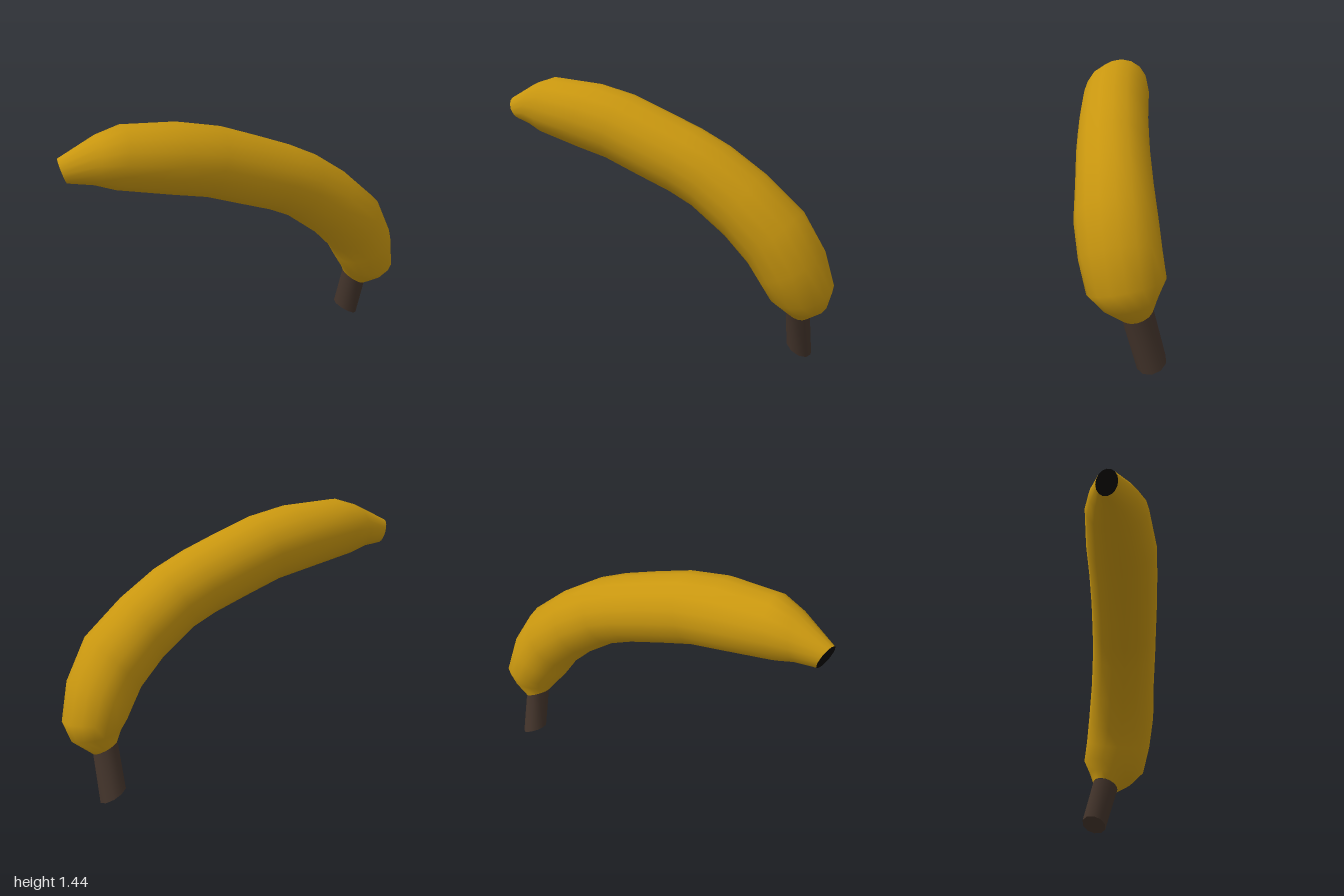
import * as THREE from 'three';

// Each ring: [outer x, outer y, inner x, inner y, front z, back z, x skew, y skew]
// (a skew is the shift of the front edge; the back edge shifts the other way)
const BODY = [
  [-1.0, 1.30, -0.96, 1.17, 0.0, -0.11, -0.015, 0],
  [-0.8, 1.40, -0.85, 1.155, 0.10, -0.15, 0, 0],
  [-0.67, 1.44, -0.75, 1.12, 0.155, -0.172, 0, 0],
  [-0.38, 1.425, -0.47, 1.06, 0.205, -0.175, 0, 0],
  [-0.16, 1.38, -0.28, 1.02, 0.215, -0.165, 0, 0],
  [0.05, 1.305, -0.08, 0.95, 0.22, -0.158, 0, 0],
  [0.25, 1.23, 0.12, 0.88, 0.22, -0.157, 0, 0],
  [0.42, 1.15, 0.25, 0.82, 0.22, -0.158, 0, 0],
  [0.62, 1.02, 0.44, 0.68, 0.215, -0.17, 0, 0],
  [0.83, 0.84, 0.57, 0.55, 0.215, -0.19, 0, 0],
  [0.95, 0.63, 0.62, 0.47, 0.19, -0.205, 0, -0.02],
  [1.0, 0.43, 0.67, 0.40, 0.15, -0.222, 0, -0.04],
  [0.97, 0.33, 0.71, 0.35, 0.075, -0.185, 0, -0.03],
  [0.87, 0.25, 0.74, 0.31, -0.012, -0.163, 0, -0.02],
];
const STEM = [
  BODY[BODY.length - 1],
  [0.87, 0.0, 0.73, 0.07, -0.083, -0.227, 0, -0.014],
];

// Points of one elliptical ring
function ringPoints([ox, oy, ix, iy, zf, zb, sx, sy], sides) {
  return Array.from({ length: sides }, (_, j) => {
    const a = (j / sides) * Math.PI * 2, c = Math.cos(a), s = Math.sin(a);
    return [
      (ox + ix) / 2 + c * (ox - ix) / 2 + s * sx,
      (oy + iy) / 2 + c * (oy - iy) / 2 + s * sy,
      (zf + zb) / 2 + s * (zf - zb) / 2,
    ];
  });
}

function makeGeometry(points, index) {
  const g = new THREE.BufferGeometry();
  g.setAttribute('position', new THREE.Float32BufferAttribute(points.flat(), 3));
  g.setIndex(index);
  g.computeVertexNormals();
  return g;
}

// Smooth skin through a row of rings
function loft(rings, sides) {
  const index = [];
  for (let i = 0; i < rings.length - 1; i++) {
    for (let j = 0; j < sides; j++) {
      const k = (j + 1) % sides;
      const a = i * sides + j, b = i * sides + k;
      index.push(a, b, a + sides, b, b + sides, a + sides);
    }
  }
  return makeGeometry(rings.flatMap((r) => ringPoints(r, sides)), index);
}

// Flat disc closing a ring
function cap(ring, sides, atStart) {
  const index = [];
  for (let j = 1; j < sides - 1; j++) {
    index.push(0, ...(atStart ? [j + 1, j] : [j, j + 1]));
  }
  return makeGeometry(ringPoints(ring, sides), index);
}

export function createModel() {
  const group = new THREE.Group();
  const peel = new THREE.MeshStandardMaterial({ color: 0xc8960f });
  const bark = new THREE.MeshStandardMaterial({ color: 0x43342b });
  const dark = new THREE.MeshStandardMaterial({ color: 0x080604 });

  const add = (name, geometry, material) => {
    const mesh = new THREE.Mesh(geometry, material);
    mesh.name = name;
    group.add(mesh);
  };

  // Curved fruit with a dark blossom end
  add('peel', loft(BODY, 16), peel);
  add('blossomEnd', cap(BODY[0], 16, true), dark);

  // Short stem with a slanted cut
  add('stem', loft(STEM, 10), bark);
  add('stemCut', cap(STEM[1], 10, false), bark);
  return group;
}
